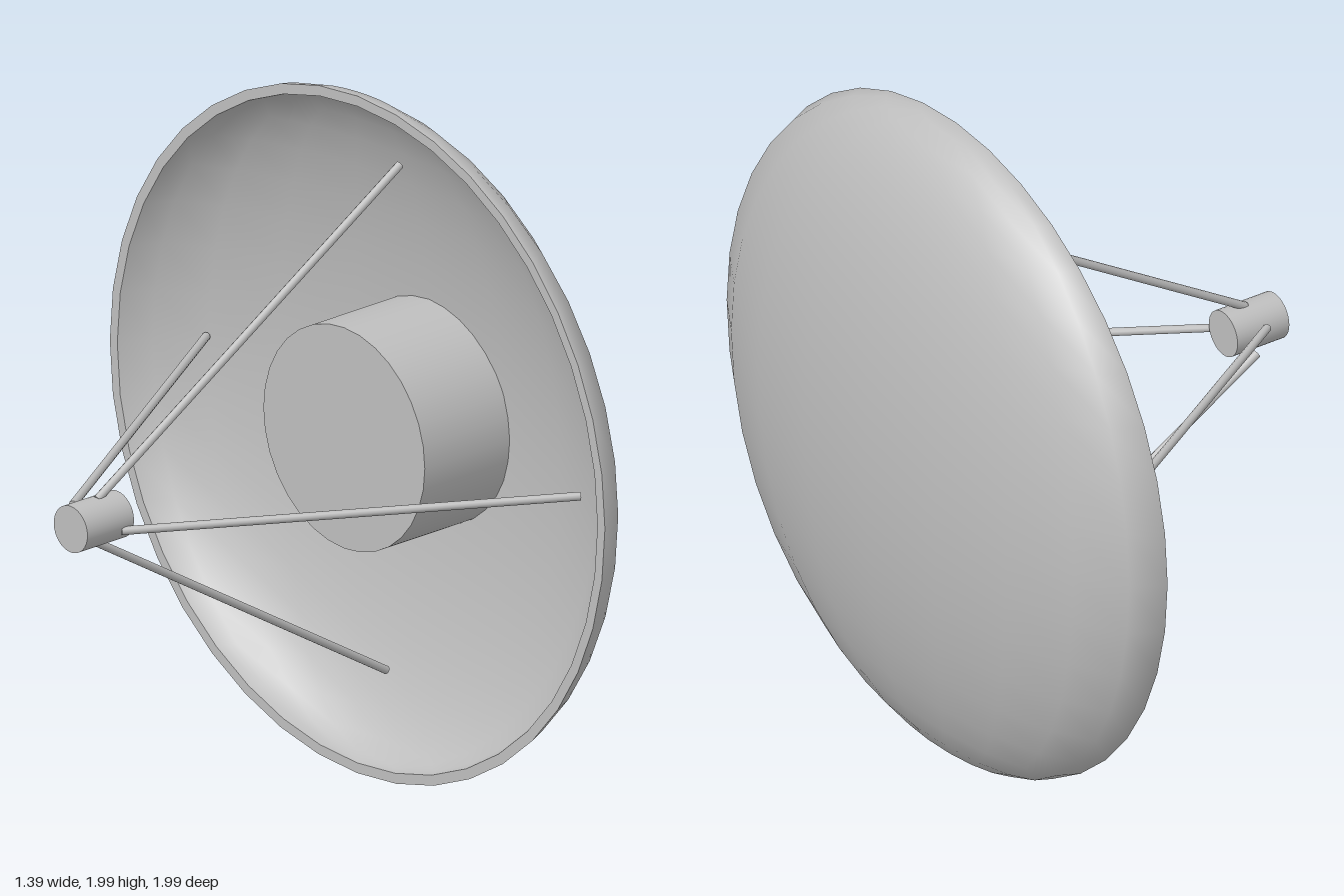
import * as THREE from 'three';

export function createModel() {
  const model = new THREE.Group();
  model.name = 'dishAntenna';
  const grey = new THREE.MeshStandardMaterial({ color: 0xbebebe });
  grey.name = 'lightGrey';

  const RIM_X = 0.38, CENTRE_Y = 1;

  const add = (name, geometry, x = 0, y = 0, z = 0) => {
    const mesh = new THREE.Mesh(geometry, grey);
    mesh.name = name;
    mesh.position.set(x, y, z);
    model.add(mesh);
    return mesh;
  };

  // Half of a flattened sphere bulging towards +x
  const halfSphere = () =>
    new THREE.SphereGeometry(1, 10, 20, Math.PI / 2, Math.PI);

  // Dish: outer skin, inner skin (mirrored so it faces inwards) and flat rim
  add('dishOuter', halfSphere().scale(0.31, 0.997, 0.997), RIM_X, CENTRE_Y);
  const inner = halfSphere().scale(0.288, 0.967, -0.967);
  inner.computeVertexNormals();
  add('dishInner', inner, RIM_X, CENTRE_Y);
  add('dishRim', new THREE.RingGeometry(0.967, 0.997, 40).rotateY(-Math.PI / 2), RIM_X, CENTRE_Y);

  // Drum along the x axis between two x positions
  const drum = (name, radius, x0, x1) =>
    add(name, new THREE.CylinderGeometry(radius, radius, x1 - x0, 32).rotateZ(Math.PI / 2),
      (x0 + x1) / 2, CENTRE_Y + 0.003);

  drum('hub', 0.325, 0.33, 0.66);
  drum('feedHorn', 0.068, -0.7, -0.525);

  // Four struts from the feed to the dish
  const strut = (name, from, to) => {
    const a = new THREE.Vector3(...from), b = new THREE.Vector3(...to);
    const dir = b.clone().sub(a);
    const mesh = add(name, new THREE.CylinderGeometry(0.012, 0.012, dir.length(), 10));
    mesh.position.copy(a).add(b).multiplyScalar(0.5);
    mesh.quaternion.setFromUnitVectors(new THREE.Vector3(0, 1, 0), dir.normalize());
  };

  strut('upperStrut', [-0.6, 1.065, 0], [0.54, 1.753, 0]);
  strut('lowerStrut', [-0.6, 0.94, -0.055], [0.54, 0.25, -0.055]);
  strut('backStrut', [-0.615, 1.03, -0.082], [0.54, 1.03, -0.78]);
  strut('frontStrut', [-0.565, 0.98, 0.06], [0.54, 0.98, 0.727]);

  return model;
}
